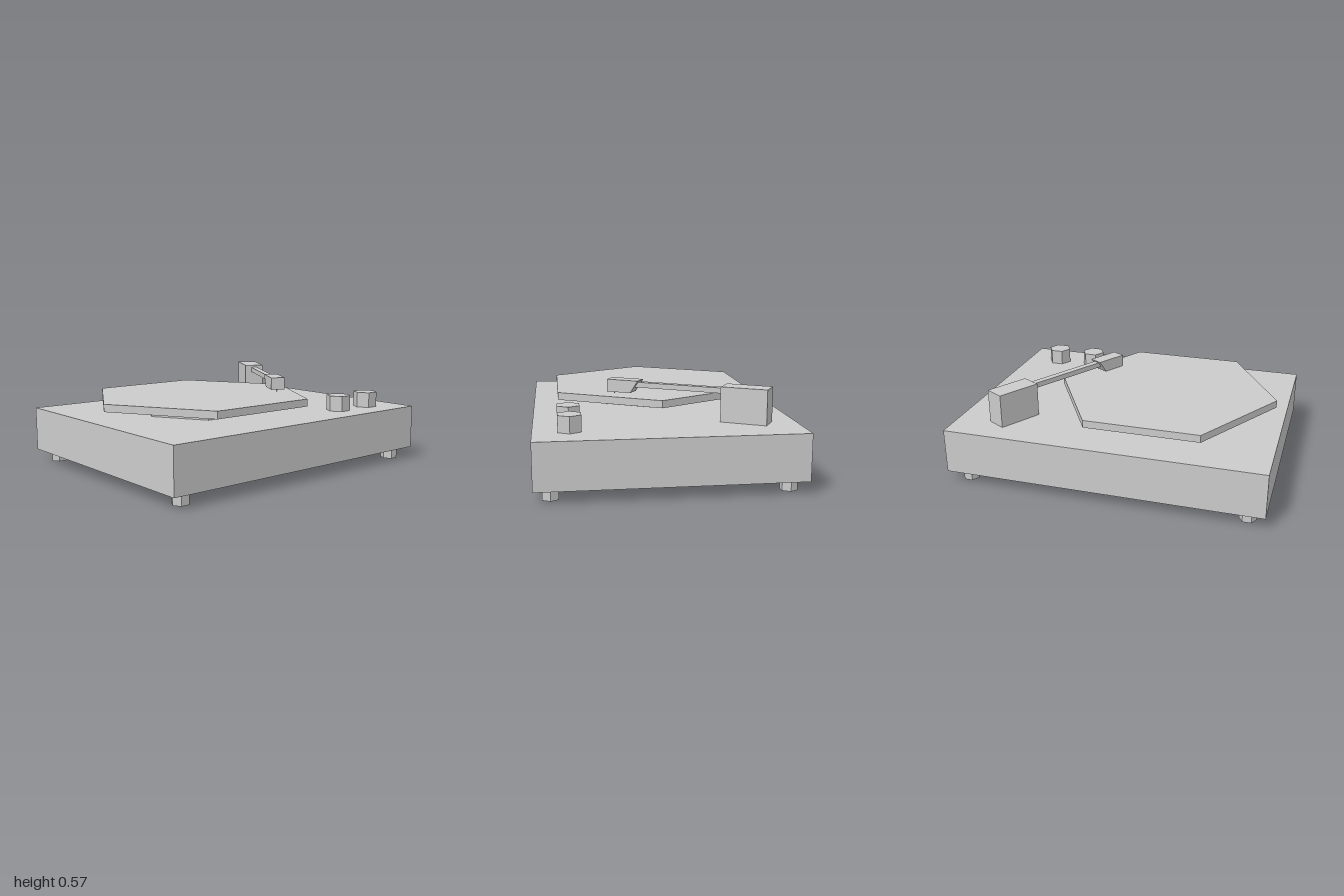
import * as THREE from 'three';

const material = new THREE.MeshStandardMaterial({ color: 0xcccccc, flatShading: true });

function addMesh(parent, name, geometry, x, y, z) {
  const mesh = new THREE.Mesh(geometry, material);
  mesh.name = name;
  mesh.position.set(x, y, z);
  parent.add(mesh);
  return mesh;
}

// Six-sided prism with corners on the x axis, from y0 up to y1
function addHexPrism(parent, name, radius, x, z, y0, y1) {
  const geometry = new THREE.CylinderGeometry(radius, radius, y1 - y0, 6).rotateY(Math.PI / 6);
  return addMesh(parent, name, geometry, x, (y0 + y1) / 2, z);
}

// Box given by width, its y range and its z range, centred on x = 0
function addBox(parent, name, width, y0, y1, z0, z1) {
  const geometry = new THREE.BoxGeometry(width, y1 - y0, z1 - z0);
  return addMesh(parent, name, geometry, 0, (y0 + y1) / 2, (z0 + z1) / 2);
}

export function createModel() {
  const model = new THREE.Group();
  model.name = 'turntable';

  // Plinth and four feet
  const deck = 0.355;
  const base = 0.073;
  addBox(model, 'plinth', 2, base, deck, -0.783, 0.783);
  for (const sx of [-1, 1]) {
    for (const sz of [-1, 1]) {
      addHexPrism(model, 'foot', 0.053, sx * 0.888, sz * 0.686, 0, base);
    }
  }

  // Platter on its hub
  addHexPrism(model, 'platterHub', 0.382, -0.218, 0, deck, 0.42);
  addHexPrism(model, 'platter', 0.723, -0.218, 0, 0.42, 0.467);

  // Control knobs
  for (const x of [0.49, 0.757]) addHexPrism(model, 'knob', 0.078, x, 0.57, deck, 0.454);

  // Tonearm, built along local +z and swung over the platter
  const tonearm = new THREE.Group();
  tonearm.name = 'tonearm';
  tonearm.position.set(0.655, 0, -0.485);
  tonearm.rotation.y = -Math.PI / 6;
  model.add(tonearm);
  addBox(tonearm, 'armBase', 0.13, deck, 0.568, -0.142, 0.142);
  addBox(tonearm, 'armRod', 0.043, 0.52, 0.553, 0.1, 0.73);

  // Head with a sloped rear face
  const profile = new THREE.Shape([
    new THREE.Vector2(0.74, 0.485),
    new THREE.Vector2(0.9, 0.485),
    new THREE.Vector2(0.9, 0.564),
    new THREE.Vector2(0.688, 0.564),
  ]);
  const headWidth = 0.09;
  const head = new THREE.ExtrudeGeometry(profile, { depth: headWidth, bevelEnabled: false })
    .translate(0, 0, -headWidth / 2)
    .rotateY(-Math.PI / 2);
  addMesh(tonearm, 'head', head, 0, 0, 0);

  // Stylus pointing down at the platter
  const stylus = new THREE.ConeGeometry(0.01, 0.018, 6).rotateX(Math.PI);
  addMesh(tonearm, 'stylus', stylus, 0, 0.477, 0.868);

  return model;
}
